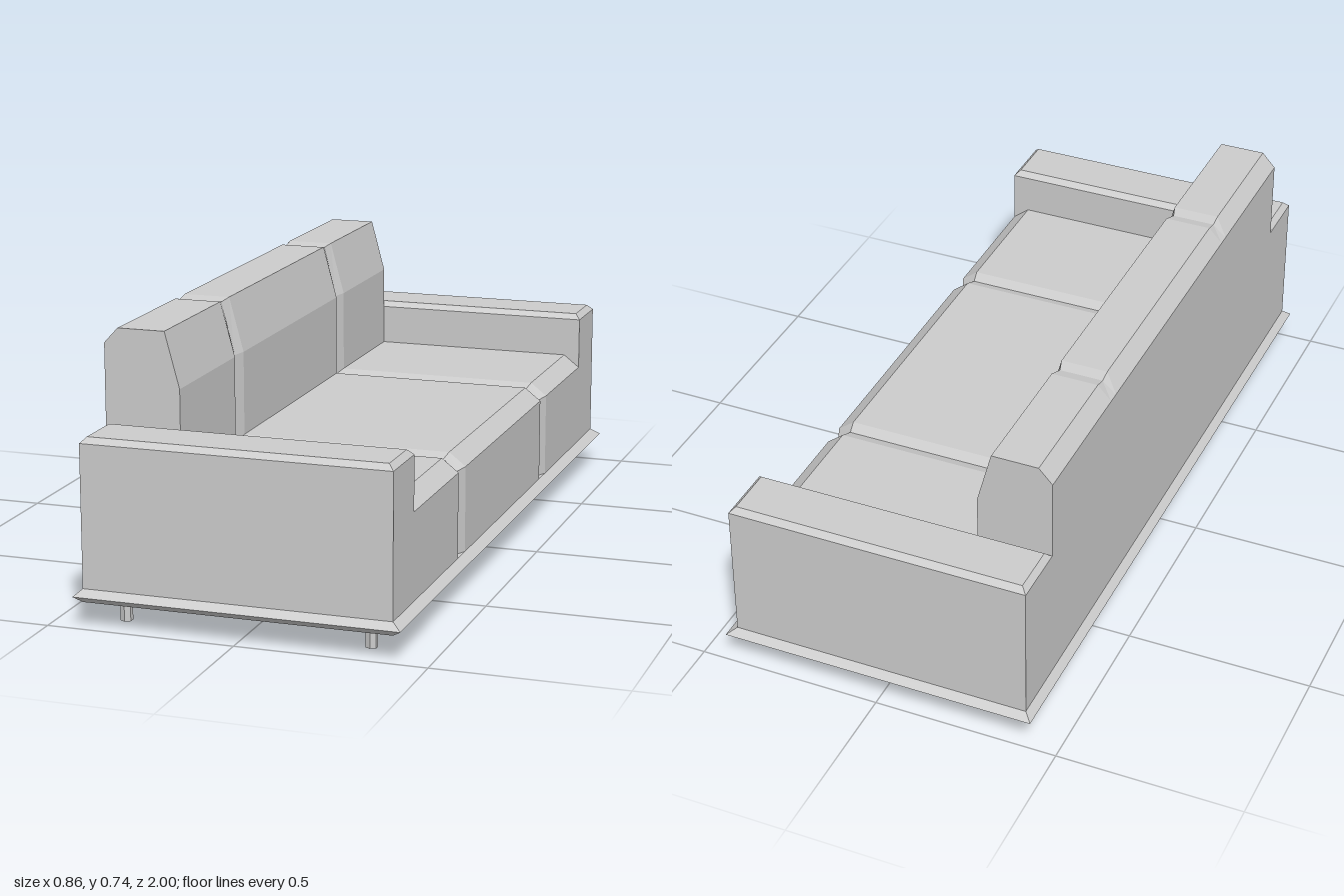
import * as THREE from 'three';

const material = new THREE.MeshStandardMaterial({ color: 0xcccccc, flatShading: true });

function part(name, geometry) {
  const mesh = new THREE.Mesh(geometry, material);
  mesh.name = name;
  return mesh;
}

// Box whose three levels, bottom to top, are [y, x0, x1, z0, z1]
function bevelledBlock(levels) {
  const geo = new THREE.BoxGeometry(2, 2, 2, 1, 2, 1);
  const p = geo.attributes.position;
  for (let i = 0; i < p.count; i++) {
    const [y, x0, x1, z0, z1] = levels[Math.round(p.getY(i)) + 1];
    p.setXYZ(i, p.getX(i) < 0 ? x0 : x1, y, p.getZ(i) < 0 ? z0 : z1);
  }
  const flat = geo.toNonIndexed();
  flat.computeVertexNormals();
  return flat;
}

// Seat and backrest: one side profile along z, pinched at the two cushion seams
function cushionBody() {
  const full = [[-0.41, 0.1], [0.405, 0.1], [0.405, 0.33], [0.36, 0.365], [-0.208, 0.365],
    [-0.208, 0.59], [-0.247, 0.735], [-0.373, 0.735], [-0.41, 0.695]];
  const seam = [[-0.41, 0.1], [0.391, 0.1], [0.391, 0.324], [0.354, 0.354], [-0.221, 0.354],
    [-0.221, 0.587], [-0.256, 0.728], [-0.373, 0.728], [-0.41, 0.695]];
  const stations = [-0.815, -0.437, -0.405, -0.373, 0.373, 0.405, 0.437, 0.815];
  const shape = new THREE.Shape(full.map(([x, y]) => new THREE.Vector2(x, y)));
  const steps = stations.length - 1;
  const geo = new THREE.ExtrudeGeometry(shape, { depth: steps, steps, bevelEnabled: false });
  const p = geo.attributes.position;
  for (let i = 0; i < p.count; i++) {
    const k = Math.round(p.getZ(i));
    const corner = full.findIndex(([x, y]) => Math.hypot(x - p.getX(i), y - p.getY(i)) < 1e-4);
    const [x, y] = (k === 2 || k === 5 ? seam : full)[corner];
    p.setXYZ(i, x, y, stations[k]);
  }
  geo.computeVertexNormals();
  return geo;
}

export function createModel() {
  const sofa = new THREE.Group();
  sofa.name = 'sofa';

  // Base plinth with a pointed rim
  sofa.add(part('base', bevelledBlock([
    [0.065, -0.41, 0.405, -0.98, 0.98],
    [0.082, -0.43, 0.43, -1, 1],
    [0.1, -0.41, 0.405, -0.98, 0.98],
  ])));

  sofa.add(part('seatAndBackrest', cushionBody()));

  for (const side of [-1, 1]) {
    // Armrest with a chamfered top
    const inner = 0.815, outer = 0.98, b = 0.015;
    const span = (inset) => [side * (inner + inset), side * (outer - inset)].sort((m, n) => m - n);
    sofa.add(part(side > 0 ? 'leftArmrest' : 'rightArmrest', bevelledBlock([
      [0.1, -0.41, 0.405, ...span(0)],
      [0.475, -0.41, 0.405, ...span(0)],
      [0.49, -0.41 + b, 0.405 - b, ...span(b)],
    ])));

    // Short hexagonal legs
    for (const x of [-0.329, 0.323]) {
      const leg = part(x > 0 ? 'frontLeg' : 'backLeg', new THREE.CylinderGeometry(0.016, 0.016, 0.067, 6));
      leg.position.set(x, 0.0335, side * 0.895);
      sofa.add(leg);
    }
  }
  return sofa;
}
